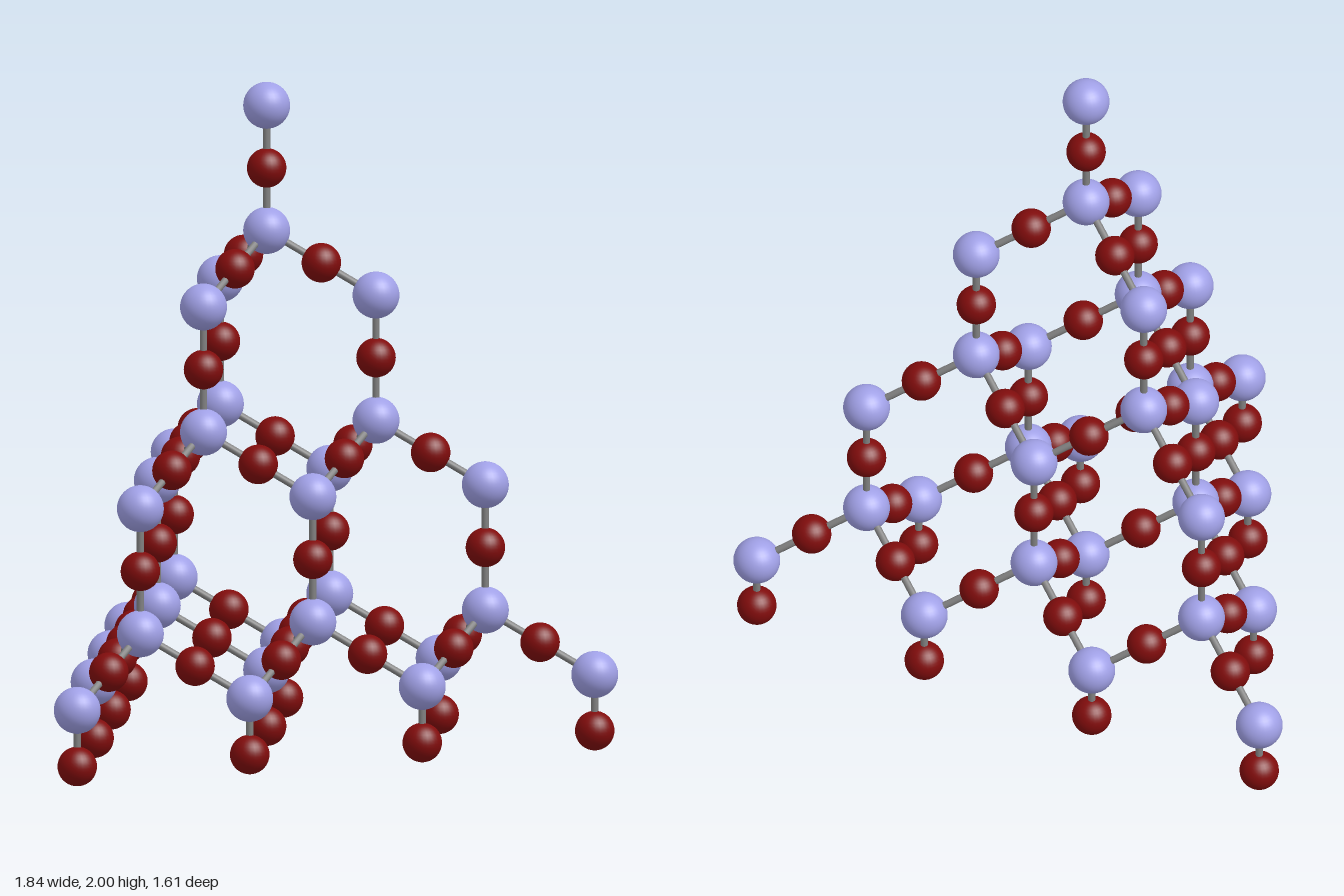
import * as THREE from 'three';

const STEP_X = 0.2833; // half the spacing of neighbouring nodes in a layer
const STEP_Z = 0.49; // distance between rows of a layer
const LAYER = 0.567; // height of one layer
const APEX = new THREE.Vector3(0, 1.93, -0.245);

export function createModel() {
  const model = new THREE.Group();
  model.name = 'crystalLattice';

  const nodeMat = new THREE.MeshStandardMaterial({ color: 0xa0a0e6 });
  const linkMat = new THREE.MeshStandardMaterial({ color: 0x800c0c });
  const rodMat = new THREE.MeshStandardMaterial({ color: 0x808080 });
  const nodeGeo = new THREE.SphereGeometry(0.07, 32, 20);
  const linkGeo = new THREE.SphereGeometry(0.059, 28, 18);
  const rodGeo = new THREE.CylinderGeometry(0.011, 0.011, 1, 12, 1, true);
  const up = new THREE.Vector3(0, 1, 0);

  const ball = (geo, mat, name, p) => {
    const mesh = new THREE.Mesh(geo, mat);
    mesh.name = name;
    mesh.position.copy(p);
    model.add(mesh);
  };
  const node = (p) => ball(nodeGeo, nodeMat, 'largeAtom', p);
  const link = (p) => ball(linkGeo, linkMat, 'smallAtom', p);

  const rod = (a, b) => {
    const dir = b.clone().sub(a);
    const mesh = new THREE.Mesh(rodGeo, rodMat);
    mesh.name = 'bondRod';
    mesh.scale.y = dir.length();
    mesh.position.copy(a).lerp(b, 0.5);
    mesh.quaternion.setFromUnitVectors(up, dir.normalize());
    model.add(mesh);
  };
  // rod between two large atoms with a small atom halfway
  const bridge = (a, b) => {
    rod(a, b);
    link(a.clone().lerp(b, 0.5));
  };

  // triangular layer with n + 1 rows, one atom at the front
  const triangle = (n, y) => {
    const points = [];
    for (let row = 0; row <= n; row++) {
      for (let i = 0; i <= row; i++) {
        const z = APEX.z + n * STEP_Z * 2 / 3 - row * STEP_Z;
        points.push(new THREE.Vector3((2 * i - row) * STEP_X, y, z));
      }
    }
    return points;
  };

  // three sloping legs below every upper atom
  const legs = [
    new THREE.Vector3(0, -0.19, STEP_Z * 2 / 3),
    new THREE.Vector3(STEP_X, -0.19, -STEP_Z / 3),
    new THREE.Vector3(-STEP_X, -0.19, -STEP_Z / 3),
  ];

  // layers: upright bridges, then spreading legs to the next layer
  for (let n = 0; n < 4; n++) {
    for (const top of triangle(n, APEX.y - n * LAYER)) {
      node(top);
      if (n === 3) {
        // short feet under the lowest layer
        const foot = new THREE.Vector3(top.x, 0.06, top.z);
        rod(top, foot);
        link(foot);
        continue;
      }
      const low = top.clone().setY(top.y - 0.377);
      node(low);
      bridge(top, low);
      for (const leg of legs) bridge(low, low.clone().add(leg));
    }
  }
  return model;
}
